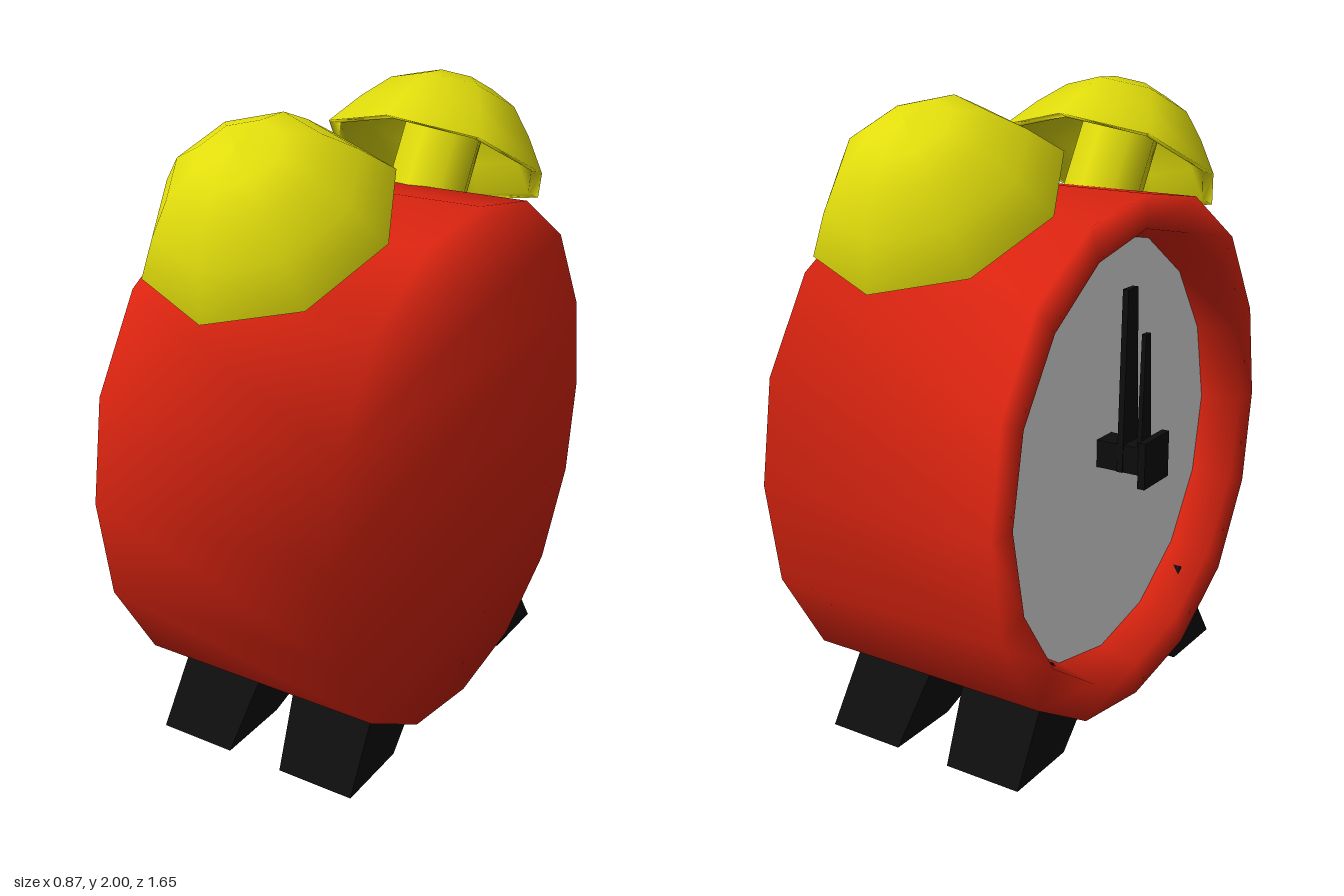
import * as THREE from 'three';

const CX = 0.025; // middle of the clock's thickness
const CY = 0.875; // height of the dial centre
const SIDES = 16;

const mat = (name, color) => {
  const m = new THREE.MeshStandardMaterial({ color });
  m.name = name;
  return m;
};

// Drum with a plain back, a rim and a recess for the dial, as one smooth skin
function bodyGeometry() {
  const rings = [[0.435, 0.825, 0.026], [-0.38, 0.825, 0.026], [-0.38, 0.72, 0], [-0.245, 0.69, 0]];
  const pos = [], idx = [];
  for (const [x, r, bulge] of rings) {
    for (let k = 0; k < SIDES; k++) {
      const a = (k / SIDES) * Math.PI * 2;
      const rr = r + bulge * Math.sin(2 * a) ** 2;
      pos.push(x, CY + Math.cos(a) * rr, Math.sin(a) * rr);
    }
  }
  for (let i = 0; i < rings.length - 1; i++) {
    for (let k = 0; k < SIDES; k++) {
      const n = (k + 1) % SIDES;
      const a = i * SIDES + k, b = i * SIDES + n;
      idx.push(a, a + SIDES, b, b, a + SIDES, b + SIDES);
    }
  }
  // back disc in horizontal strips
  for (let k = 0; k < SIDES / 2; k++) {
    if (k > 0) idx.push(k, k + 1, SIDES - k);
    if (k < SIDES / 2 - 1) idx.push((SIDES - k) % SIDES, k + 1, SIDES - 1 - k);
  }
  const g = new THREE.BufferGeometry();
  g.setAttribute('position', new THREE.Float32BufferAttribute(pos, 3));
  g.setIndex(idx);
  g.computeVertexNormals();
  return g;
}

// Slanted block leaning in under the drum
function footGeometry(sx, sz) {
  const g = new THREE.BoxGeometry(1, 1, 1);
  const p = g.attributes.position;
  for (let i = 0; i < p.count; i++) {
    const outX = p.getX(i) * sx > 0, top = p.getY(i) > 0, outZ = p.getZ(i) * sz > 0;
    const x = outX ? (top ? 0.345 : 0.355) : (top ? 0.045 : 0.095);
    const y = top ? (outZ ? 0.33 : 0.12) : 0;
    const z = outZ ? (top ? 0.42 : 0.63) : (top ? 0.22 : 0.37);
    p.setXYZ(i, CX + sx * x, y, sz * z);
  }
  g.computeVertexNormals();
  return g;
}

// Upright hand, tapering towards its tip
function handGeometry(thick, y0, y1, baseWidth, tipWidth) {
  const g = new THREE.BoxGeometry(thick, y1 - y0, 1);
  g.translate(0, (y0 + y1) / 2, 0);
  const p = g.attributes.position;
  for (let i = 0; i < p.count; i++) {
    p.setZ(i, p.getZ(i) * (p.getY(i) > (y0 + y1) / 2 ? tipWidth : baseWidth));
  }
  g.computeVertexNormals();
  return g;
}

export function createModel() {
  const red = mat('red', 0xdc2410);
  const yellow = mat('yellow', 0xe0dc0c);
  const black = mat('black', 0x0d0d0d);
  const white = mat('white', 0xe8e8e8);

  const model = new THREE.Group();
  model.name = 'alarmClock';
  const add = (name, geometry, material, parent = model) => {
    const m = new THREE.Mesh(geometry, material);
    m.name = name;
    parent.add(m);
    return m;
  };

  add('body', bodyGeometry(), red);

  // Dial at the bottom of the recess
  const dial = add('dial', new THREE.CircleGeometry(0.69, SIDES), white);
  dial.rotation.y = -Math.PI / 2;
  dial.position.set(-0.245, CY, 0);

  // Hands, spindle and cap
  add('minuteHand', handGeometry(0.02, 0.83, 1.41, 0.1, 0.06), black).position.x = -0.33;
  add('hourHand', handGeometry(0.015, 0.83, 1.275, 0.07, 0.03), black).position.x = -0.388;
  add('spindle', new THREE.BoxGeometry(0.17, 0.09, 0.09), black).position.set(-0.33, CY, 0);
  add('spindleCap', new THREE.BoxGeometry(0.025, 0.15, 0.155), black).position.set(-0.422, CY, 0);

  // Bells on short stems, tilted outwards
  const shell = [[0, 0.24], [0.13, 0.22], [0.2, 0.18], [0.28, 0.09], [0.345, 0.005],
    [0.384, 0], [0.305, 0.115], [0.225, 0.21], [0.13, 0.262], [0, 0.283]]
    .map(([r, y]) => new THREE.Vector2(r, y));
  for (const s of [1, -1]) {
    const bell = new THREE.Group();
    bell.name = s > 0 ? 'frontBell' : 'rearBell';
    bell.position.set(CX, 1.7, s * 0.483);
    bell.rotation.x = s * 0.548;
    add('bellDome', new THREE.LatheGeometry(shell, 8), yellow, bell);
    add('bellStem', new THREE.CylinderGeometry(0.135, 0.135, 0.42, 8, 1, true), yellow, bell).position.y = 0;
    model.add(bell);
  }

  // Four feet
  for (const sx of [1, -1]) {
    for (const sz of [1, -1]) {
      add(`${sz > 0 ? 'front' : 'rear'}${sx > 0 ? 'Left' : 'Right'}Foot`, footGeometry(sx, sz), black);
    }
  }
  return model;
}
